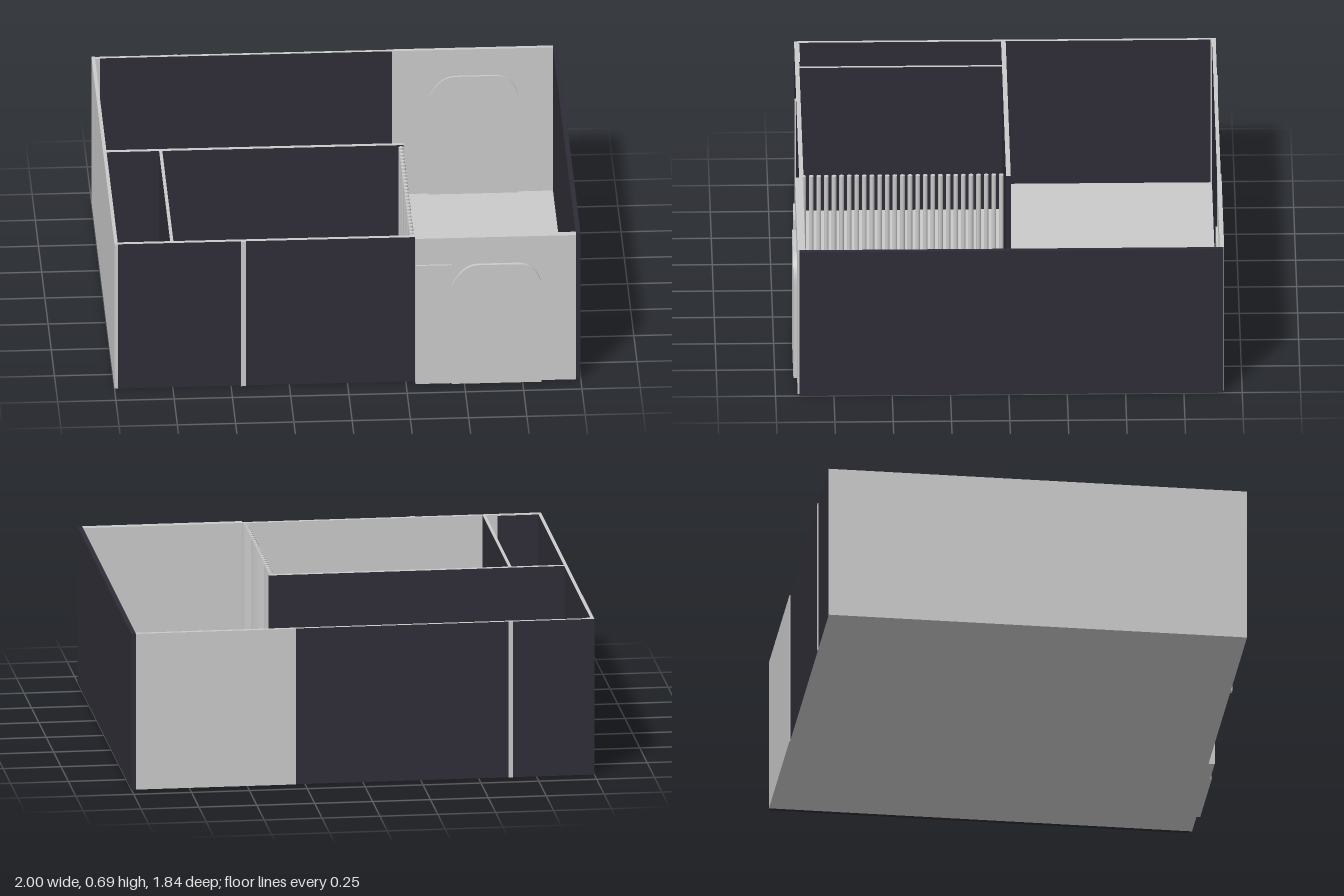
import * as THREE from 'three';

const H = 0.69;

export function createModel() {
  const root = new THREE.Group();
  root.name = 'openRoomLayout';

  const light = new THREE.MeshStandardMaterial({ color: 0xcacaca });
  light.name = 'light grey';
  const dark = new THREE.MeshStandardMaterial({ color: 0x2e2d37 });
  dark.name = 'dark slate';

  // Box between two corners; darkFaces lists the dark sides
  const SIDES = ['+x', '-x', '+y', '-y', '+z', '-z'];
  function slab(name, x0, x1, y0, y1, z0, z1, darkFaces = []) {
    const mats = SIDES.map((s) => (darkFaces.includes(s) ? dark : light));
    const same = mats.every((m) => m === mats[0]);
    const mesh = new THREE.Mesh(new THREE.BoxGeometry(x1 - x0, y1 - y0, z1 - z0), same ? mats[0] : mats);
    mesh.position.set((x0 + x1) / 2, (y0 + y1) / 2, (z0 + z1) / 2);
    mesh.name = name;
    root.add(mesh);
    return mesh;
  }

  // Floor
  slab('floor', -0.998, 0.98, 0, 0.005, -0.918, 0.885);

  // Outer walls
  slab('rightWall', 0.98, 1, 0, H, -0.92, 0.897, SIDES);
  slab('leftWall', -1, -0.985, 0, H, -0.92, 0.887, ['+x']);
  slab('backWall', -0.985, 0.29, 0, H, -0.92, -0.904, ['+z', '-z']);
  slab('frontWall', -0.985, 0.29, 0, H, 0.868, 0.887, ['+z']);
  slab('backEntryPanel', 0.29, 0.98, 0, H, -0.923, -0.904);
  slab('frontEntryPanel', 0.29, 0.98, 0, H, 0.872, 0.905);

  // Outer edge of the back wall beside the left wall
  slab('backCornerFace', -1, -0.985, 0, H, -0.922, -0.92, ['-z']);
  slab('innerCornerPost', -0.985, -0.965, 0.005, H, -0.904, -0.898);

  // Inner partitions
  slab('longPartition', -0.985, 0.29, 0.005, H, -0.02, 0, ['+z', '-z', '+x']);
  slab('crossPartition', -0.76, -0.746, 0.005, H, 0, 0.868, ['+x', '-x']);
  slab('closetDarkPanel', -0.985, -0.81, 0.005, H - 0.003, 0.864, 0.868, ['-z', '+x']);

  // Thin joint strips on the outside
  slab('frontJointStrip', -0.457, -0.435, 0, H, 0.885, 0.894);
  slab('backJointStrip', -0.648, -0.63, 0, H, -0.923, -0.918);

  // Arched doors
  const arch = new THREE.Shape();
  arch.moveTo(0.445, 0);
  arch.lineTo(0.445, 0.465);
  arch.bezierCurveTo(0.47, 0.525, 0.51, 0.565, 0.56, 0.565);
  arch.lineTo(0.73, 0.565);
  arch.bezierCurveTo(0.79, 0.565, 0.83, 0.515, 0.83, 0.45);
  arch.lineTo(0.83, 0);
  arch.closePath();
  function door(name, z0, z1) {
    const geo = new THREE.ExtrudeGeometry(arch, { depth: z1 - z0, bevelEnabled: false, curveSegments: 12 });
    const mesh = new THREE.Mesh(geo, light);
    mesh.position.z = z0;
    mesh.name = name;
    root.add(mesh);
  }
  door('frontArchedDoor', 0.9, 0.921);
  door('backArchedDoor', -0.906, -0.894);
  slab('frontDoorSidePanel', 0.29, 0.445, 0, 0.565, 0.9, 0.914);

  // Row of round upright slats closing the room
  const slats = new THREE.Group();
  slats.name = 'slatScreen';
  const slatGeo = new THREE.CylinderGeometry(0.01, 0.01, H - 0.005, 16);
  const count = 27;
  for (let i = 0; i < count; i++) {
    const slat = new THREE.Mesh(slatGeo, light);
    slat.name = 'slat';
    slat.position.set(0.277, (H + 0.005) / 2, 0.02 + (i * 0.848) / (count - 1));
    slats.add(slat);
  }
  root.add(slats);

  return root;
}
